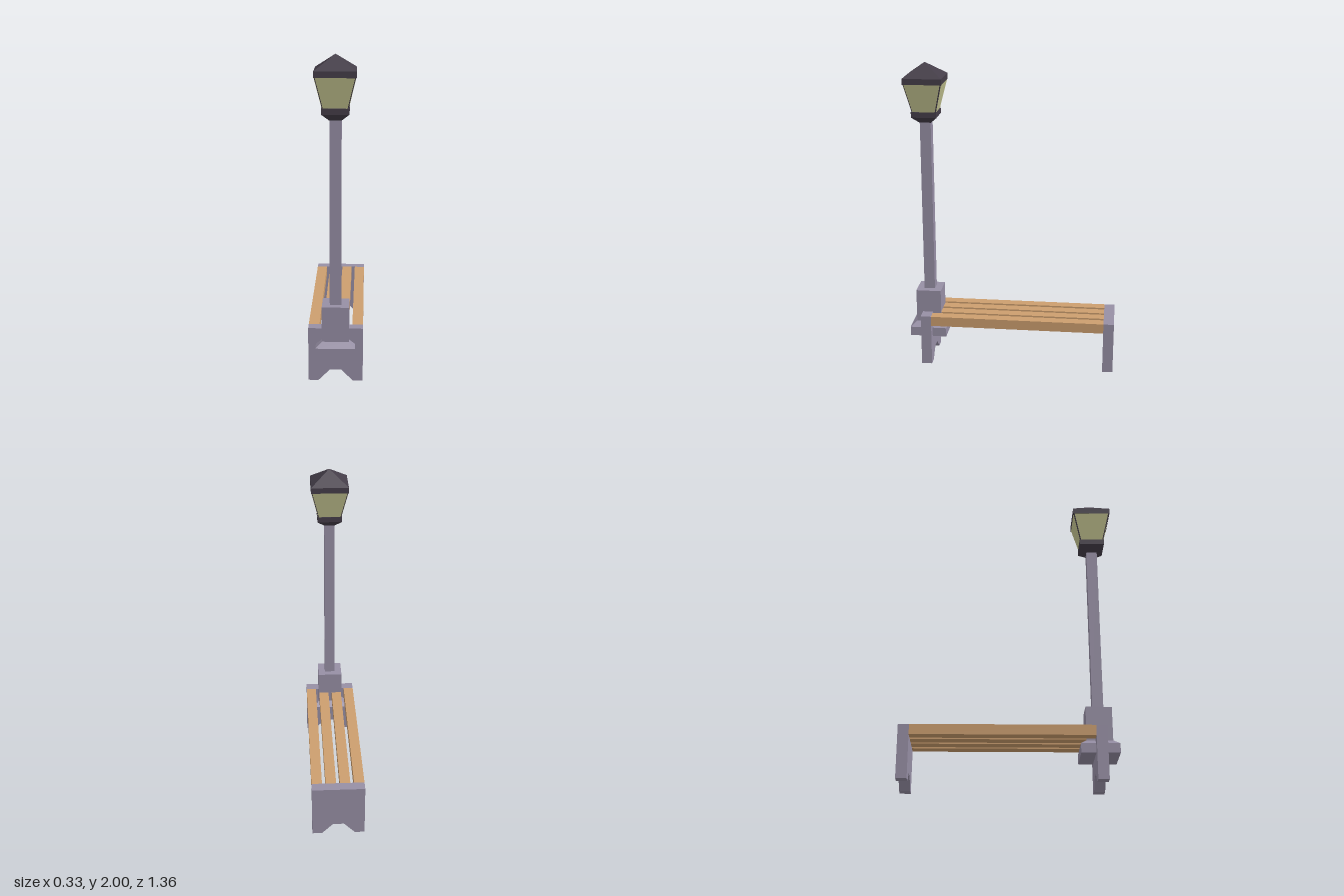
import * as THREE from 'three';

const mat = (name, color, extra = {}) => {
  const m = new THREE.MeshStandardMaterial({ color, ...extra });
  m.name = name;
  return m;
};

export function createModel() {
  const stone = mat('stone', 0x978fa5, { flatShading: true });
  const wood = mat('wood', 0xcc9e6e, { flatShading: true });
  const iron = mat('dark iron', 0x443d48, { flatShading: true });
  const glass = mat('lamp glass', 0xc6c692, { flatShading: true, side: THREE.DoubleSide });

  const model = new THREE.Group();
  model.name = 'benchWithLamp';

  const add = (parent, name, geometry, material) => {
    const mesh = new THREE.Mesh(geometry, material);
    mesh.name = name;
    parent.add(mesh);
    return mesh;
  };

  // Square block between two heights; half-widths may differ to taper it
  const block = (parent, name, y0, y1, half0, half1, material) => {
    const r = Math.SQRT2;
    const g = new THREE.CylinderGeometry(half1 * r, half0 * r, y1 - y0, 4, 1);
    g.rotateY(Math.PI / 4);
    g.translate(0, (y0 + y1) / 2, 0);
    return add(parent, name, g, material);
  };

  // Bench: two notched end slabs
  const bench = new THREE.Group();
  bench.name = 'bench';
  model.add(bench);
  const outline = new THREE.Shape([
    [-0.167, 0], [-0.105, 0], [-0.035, 0.07], [0.035, 0.07],
    [0.105, 0], [0.167, 0], [0.167, 0.34], [-0.167, 0.34],
  ].map(([x, y]) => new THREE.Vector2(x, y)));
  const slab = new THREE.ExtrudeGeometry(outline, { depth: 0.068, bevelEnabled: false });
  add(bench, 'frontLeg', slab, stone).position.z = 0.527;
  add(bench, 'backLeg', slab, stone).position.z = -0.678;

  // Four seat slats
  for (let i = 0; i < 4; i++) {
    const slat = add(bench, 'seatSlat', new THREE.BoxGeometry(0.066, 0.065, 1.137), wood);
    slat.position.set((i - 1.5) * 0.0895, 0.3075, -0.0415);
  }

  // Lamp post
  const lamp = new THREE.Group();
  lamp.name = 'lamp';
  lamp.position.z = 0.555;
  model.add(lamp);
  block(lamp, 'plinth', 0.18, 0.24, 0.12, 0.12, stone);
  block(lamp, 'plinthSlope', 0.24, 0.27, 0.12, 0.082, stone);
  block(lamp, 'pedestal', 0.27, 0.49, 0.082, 0.082, stone);
  block(lamp, 'pole', 0.49, 1.62, 0.035, 0.035, stone);

  // Lantern
  block(lamp, 'lanternCup', 1.62, 1.66, 0.037, 0.081, iron);
  block(lamp, 'lanternCollar', 1.66, 1.695, 0.081, 0.081, iron);
  block(lamp, 'lanternFrame', 1.695, 1.875, 0.076, 0.119, iron);
  block(lamp, 'roofRim', 1.875, 1.912, 0.123, 0.123, iron);
  block(lamp, 'roof', 1.912, 2, 0.123, 0, iron);

  // Glass panes laid just over the sloping frame, leaving dark corners
  for (let i = 0; i < 4; i++) {
    const pane = new THREE.PlaneGeometry(1, 1);
    const p = pane.attributes.position;
    for (let k = 0; k < p.count; k++) {
      const half = p.getY(k) > 0 ? 0.119 : 0.076;
      p.setXYZ(k, Math.sign(p.getX(k)) * (half - 0.005), p.getY(k) > 0 ? 1.875 : 1.695, half + 0.002);
    }
    pane.computeVertexNormals();
    add(lamp, 'lanternPane', pane, glass).rotation.y = i * Math.PI / 2;
  }

  return model;
}
